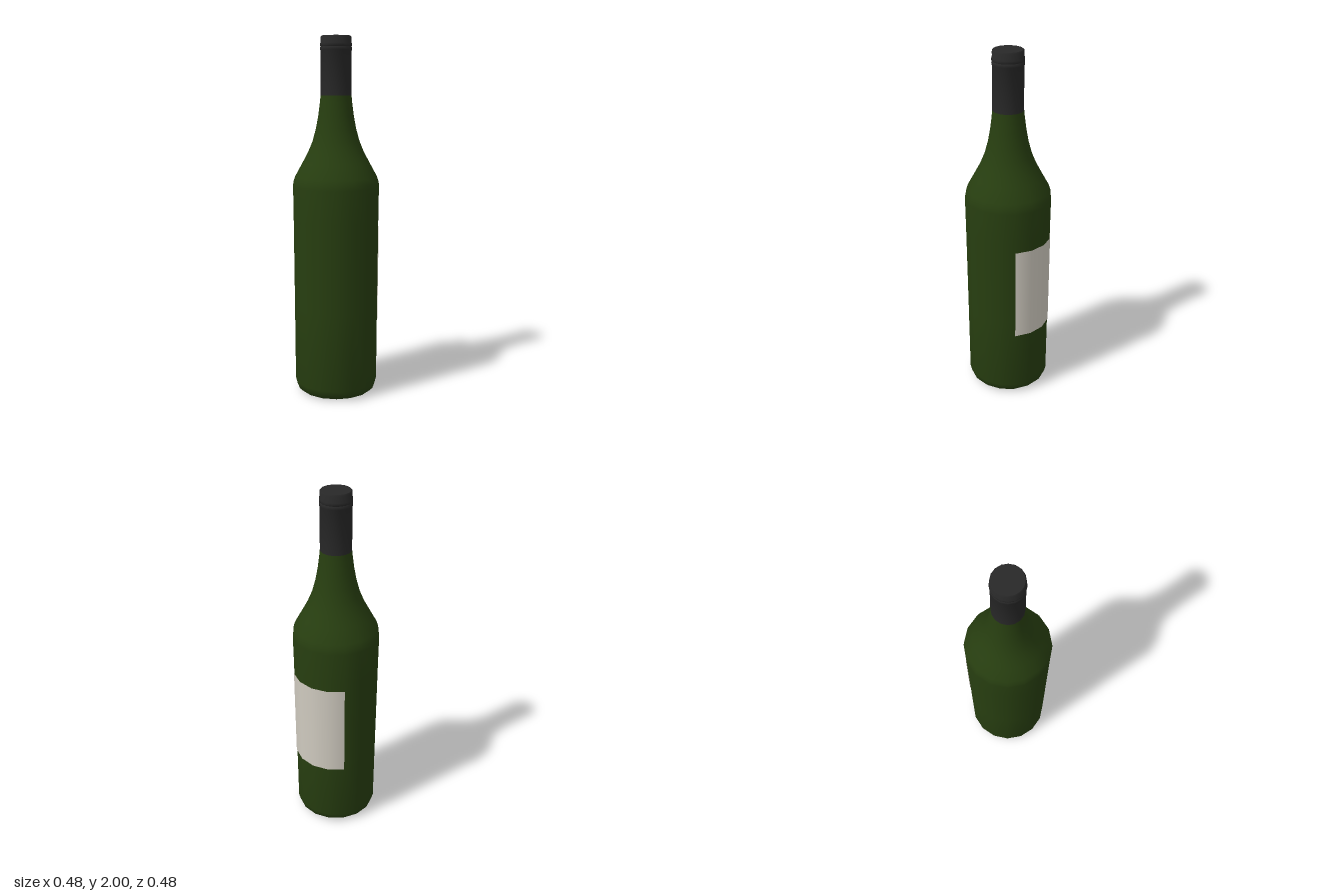
import * as THREE from 'three';
import { toCreasedNormals } from 'three/addons/utils/BufferGeometryUtils.js';

const SIDES = 16;

const glass = new THREE.MeshStandardMaterial({ color: 0x273e10 });
glass.name = 'bottle green';
const capColor = new THREE.MeshStandardMaterial({ color: 0x282828 });
capColor.name = 'cap black';
const paper = new THREE.MeshStandardMaterial({ color: 0xcfcabf, side: THREE.DoubleSide });
paper.name = 'label paper';

// Turns a [radius, height] profile, listed from the bottom up
function turned(name, profile, material) {
  const points = profile.map(([r, y]) => new THREE.Vector2(r, y));
  const geometry = toCreasedNormals(new THREE.LatheGeometry(points, SIDES), 0.75);
  const mesh = new THREE.Mesh(geometry, material);
  mesh.name = name;
  return mesh;
}

export function createModel() {
  const bottle = new THREE.Group();
  bottle.name = 'bottle';

  // Glass body with rounded foot, shoulder and tapering neck
  bottle.add(turned('body', [
    [0, 0], [0.18, 0], [0.205, 0.007], [0.224, 0.025], [0.233, 0.06],
    [0.235, 0.5], [0.238, 1.0], [0.24, 1.18], [0.238, 1.205], [0.228, 1.235],
    [0.187, 1.31], [0.155, 1.37], [0.13, 1.43], [0.111, 1.5],
    [0.098, 1.57], [0.089, 1.64], [0.084, 1.69],
  ], glass));

  // Screw cap sleeve, with two shallow ridges near the top
  bottle.add(turned('cap', [
    [0.081, 1.675], [0.085, 1.677], [0.084, 1.92], [0.087, 1.925], [0.087, 1.937],
    [0.084, 1.942], [0.087, 1.947], [0.087, 1.959], [0.084, 1.964],
    [0.084, 1.993], [0.079, 2], [0, 2],
  ], capColor));

  // Paper label wrapped round a quarter of the back
  const label = new THREE.Mesh(
    new THREE.CylinderGeometry(0.2405, 0.2385, 0.54, SIDES / 4, 1, true, Math.PI * 0.75, Math.PI / 2),
    paper,
  );
  label.name = 'label';
  label.position.y = 0.68;
  bottle.add(label);

  return bottle;
}
